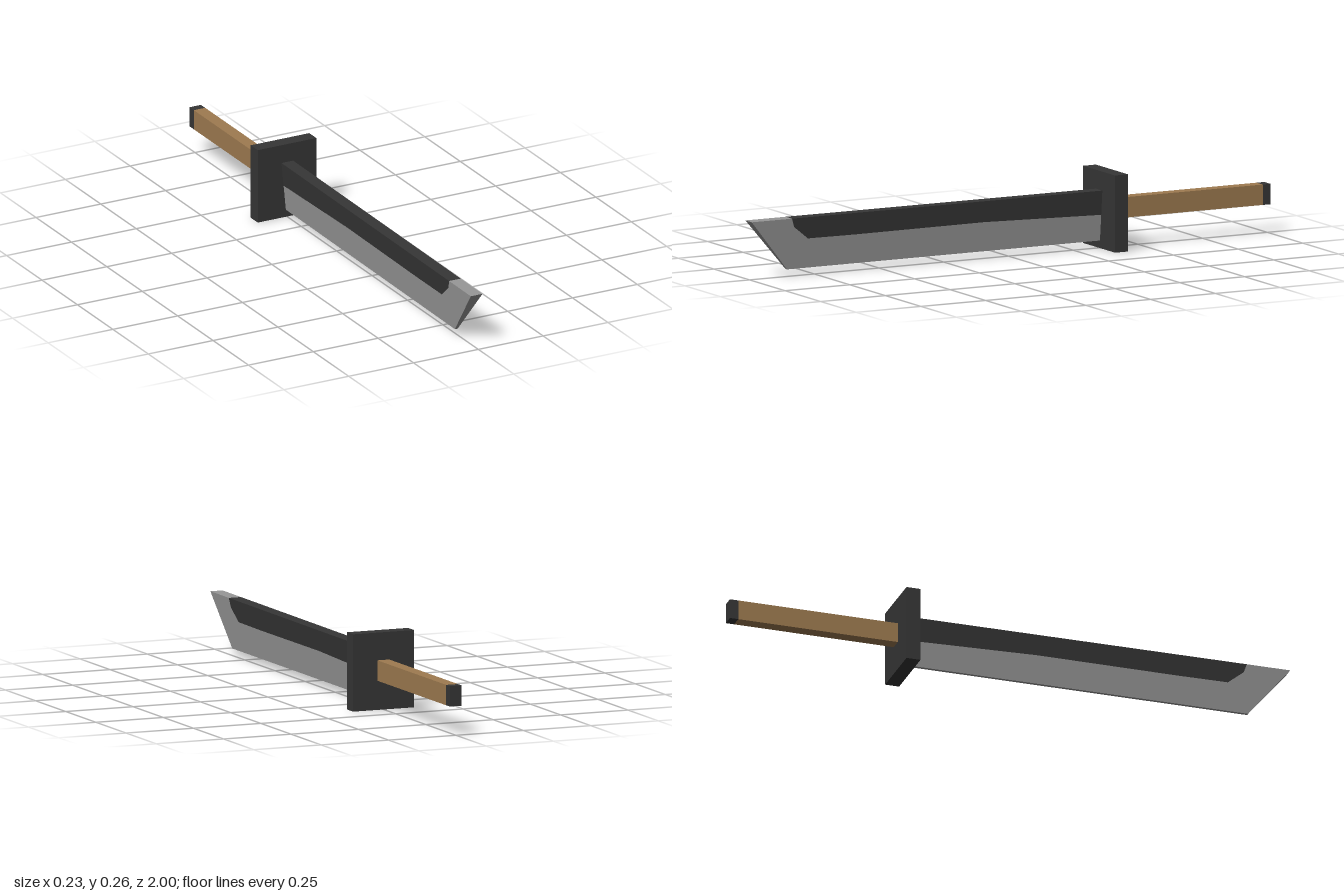
import * as THREE from 'three';

const mat = (name, color) => {
  const m = new THREE.MeshStandardMaterial({ color });
  m.name = name;
  return m;
};

export function createModel() {
  const group = new THREE.Group();
  const dark = mat('dark iron', 0x363636);
  const steel = mat('steel', 0x989898);
  const wood = mat('wood', 0x9e7b50);

  const add = (name, geometry, material) => {
    const mesh = new THREE.Mesh(geometry, material);
    mesh.name = name;
    group.add(mesh);
    return mesh;
  };

  // Box given by its extents
  const box = (name, material, x0, x1, y0, y1, z0, z1) =>
    add(name, new THREE.BoxGeometry(x1 - x0, y1 - y0, z1 - z0), material)
      .position.set((x0 + x1) / 2, (y0 + y1) / 2, (z0 + z1) / 2);

  // Side profile (z, y) extruded across x, thinning to the edge and drifting slightly along its length
  const bladePart = (name, material, points) => {
    const shape = new THREE.Shape(points.map(([z, y]) => new THREE.Vector2(z, y)));
    const geo = new THREE.ExtrudeGeometry(shape, { depth: 1, bevelEnabled: false });
    const p = geo.attributes.position;
    for (let i = 0; i < p.count; i++) {
      const z = p.getX(i), y = p.getY(i), t = p.getZ(i);
      const width = 0.011 + 0.034 * (y - 0.025) / 0.175;
      const centre = 0.001 - 0.0075 * (z + 0.37) / 1.37;
      p.setXYZ(i, centre + (0.5 - t) * width, y, z);
    }
    geo.computeVertexNormals();
    add(name, geo, material);
  };

  // Boundary between the dark spine and the bright edge
  const seam = [[-0.37, 0.115], [0.1, 0.127], [0.6, 0.125], [0.78, 0.126], [0.835, 0.17], [0.845, 0.2]];
  bladePart('bladeSpine', dark, [...seam, [-0.37, 0.2]]);
  bladePart('bladeEdge', steel, [[-0.37, 0.026], [0.855, 0.024], [1, 0.2], ...seam.slice().reverse()]);

  // Guard and grip
  box('guard', dark, -0.113, 0.113, 0, 0.265, -0.4, -0.35);
  box('handle', wood, -0.021, 0.023, 0.1, 0.17, -0.97, -0.4);
  box('pommel', dark, -0.021, 0.023, 0.1, 0.17, -1, -0.97);

  return group;
}
